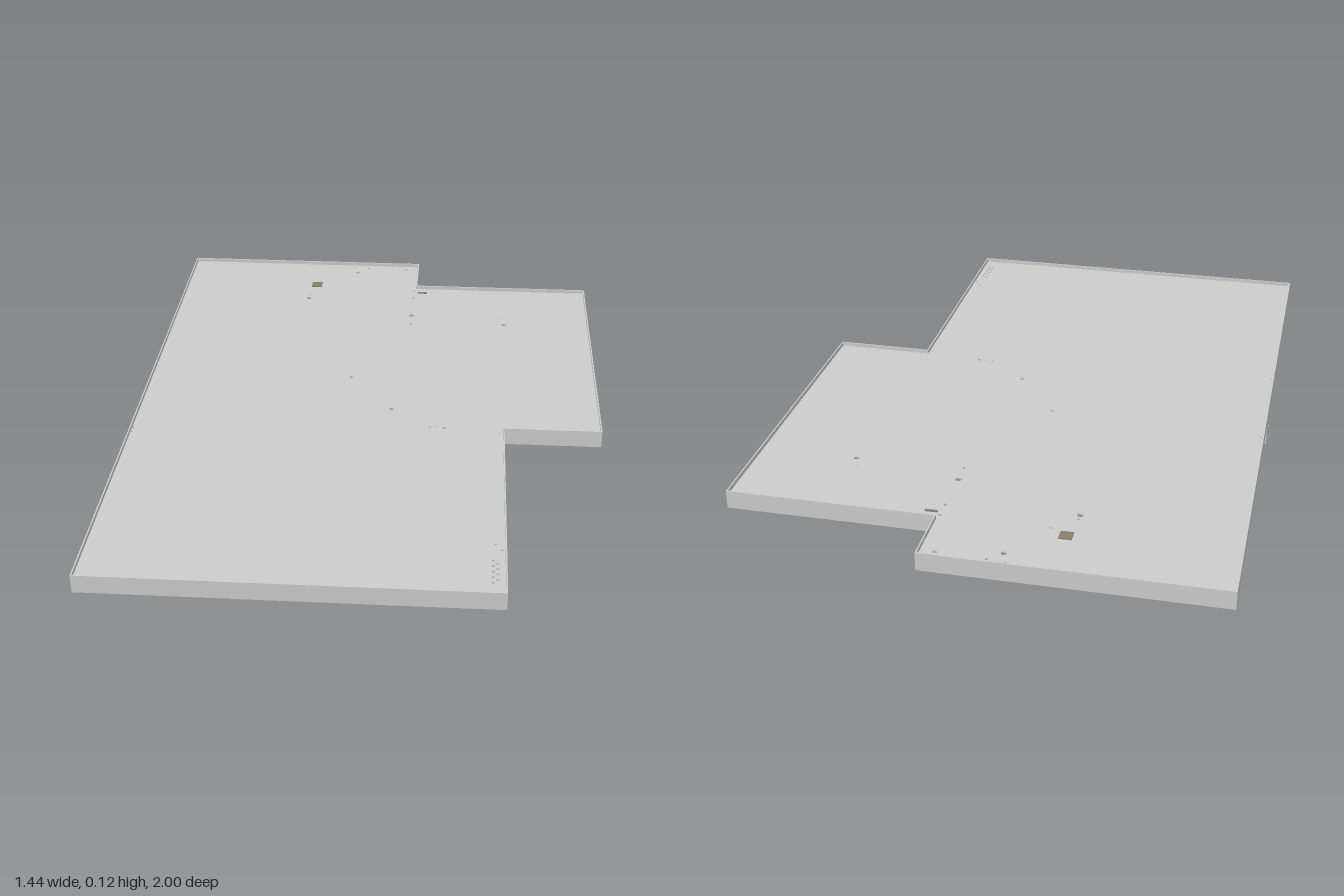
import * as THREE from 'three';

const grey = new THREE.MeshStandardMaterial({ color: 0xcccccc, flatShading: true });
const brown = new THREE.MeshStandardMaterial({ color: 0x8a7f66, flatShading: true });

// Corners of the stepped plan: x, z, and the inward direction of each
const plan = [
  [-0.718, -1, 1, 1], [0.118, -1, -1, 1], [0.118, -0.813, -1, 1], [0.718, -0.813, -1, 1],
  [0.718, 0.178, -1, -1], [0.422, 0.178, -1, -1], [0.422, 1, -1, -1], [-0.718, 1, 1, -1],
];
// Counter-clockwise outline, so that outer and inner walls face the right way
const outline = (inset) => plan
  .map(([x, z, sx, sz]) => new THREE.Vector2(x + sx * inset, -(z + sz * inset)))
  .reverse();

function circle(x, y, r, sides = 10) {
  const path = new THREE.Path();
  path.absarc(x, y, r, 0, Math.PI * 2, true);
  return new THREE.Path(path.getPoints(sides).slice(0, -1));
}

// Extrudes a plan shape upward from y0 to y1
function layer(name, holes, y0, y1) {
  const shape = new THREE.Shape(outline(0));
  shape.holes.push(...holes);
  const geo = new THREE.ExtrudeGeometry(shape, { depth: y1 - y0, bevelEnabled: false });
  geo.rotateX(-Math.PI / 2).translate(0, y0, 0);
  const mesh = new THREE.Mesh(geo, grey);
  mesh.name = name;
  return mesh;
}

// Thin coloured pad lying on the floor
function pad(name, w, d, x, z) {
  const mesh = new THREE.Mesh(new THREE.BoxGeometry(w, 0.004, d), brown);
  mesh.position.set(x, 0.104, z);
  mesh.name = name;
  return mesh;
}

export function createModel() {
  const group = new THREE.Group();
  group.name = 'steppedTray';

  // Small holes in the floor: x, z, radius
  const drill = [
    [-0.105, -0.935, 0.008], [0.072, -0.968, 0.007], [-0.068, -0.972, 0.005], [-0.12, -0.978, 0.004],
    [-0.265, -0.71, 0.009], [-0.265, -0.732, 0.004], [-0.2, -0.79, 0.004], [0.108, -0.79, 0.005],
    [0.108, -0.735, 0.005], [0.108, -0.595, 0.009], [0.108, -0.53, 0.005], [0.428, -0.54, 0.008],
    [0.412, -0.585, 0.003], [-0.068, -0.135, 0.006], [0.072, 0.06, 0.007], [0.24, 0.165, 0.006],
    [0.195, 0.165, 0.004], [0.215, 0.16, 0.003], [0.41, 0.19, 0.004], [0.392, 0.77, 0.004],
    [0.41, 0.795, 0.004], [-0.71, -0.17, 0.003], [-0.71, 0.225, 0.004], [-0.71, 0.25, 0.003],
    [-0.19, 0.99, 0.004],
  ];
  // Zigzag row of pinholes near the front right corner
  for (let i = 0; i < 9; i++) drill.push([0.386 + (i % 2) * 0.012, 0.845 + i * 0.012, 0.005]);
  const holes = drill.map(([x, z, r]) => circle(x, -z, r));

  // Wide lower wall, thin floor plate and thin upper rim
  group.add(layer('lowerWall', [new THREE.Path(outline(0.037))], 0.061, 0.098));
  group.add(layer('floor', holes, 0.098, 0.103));
  group.add(layer('upperRim', [new THREE.Path(outline(0.004))], 0.103, 0.115));

  group.add(pad('squarePad', 0.036, 0.036, -0.247, -0.82));
  group.add(pad('barPad', 0.035, 0.008, 0.137, -0.775));

  // Hanging bracket with two holes, under the long straight side
  const plate = new THREE.Shape([[-0.133, 0], [0.018, 0], [0.018, 0.061], [-0.133, 0.061]]
    .map(([a, b]) => new THREE.Vector2(a, b)));
  plate.holes.push(circle(-0.058, 0.025, 0.011, 16), circle(-0.058, 0.05, 0.009, 16));
  const geo = new THREE.ExtrudeGeometry(plate, { depth: 0.037, bevelEnabled: false });
  geo.rotateY(Math.PI / 2).translate(-0.718, 0, 0);
  const bracket = new THREE.Mesh(geo, grey);
  bracket.name = 'hangingBracket';
  group.add(bracket);

  return group;
}
